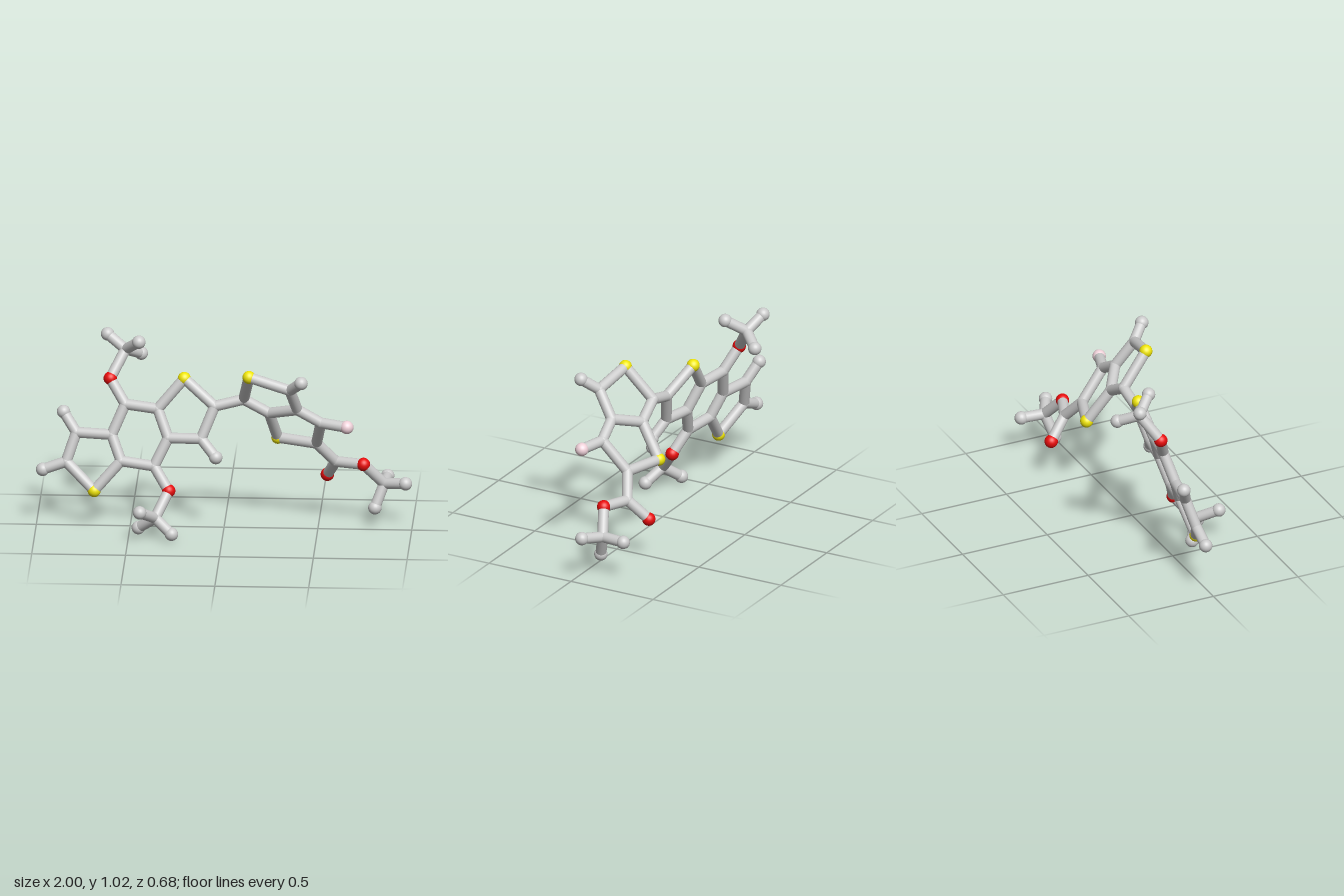
import * as THREE from 'three';

const COLORS = { C: 0xcccccc, H: 0xcccccc, S: 0xf0e60a, O: 0xe80c0c, F: 0xf0d2da };
const RADII = { C: 0.03, H: 0.036, S: 0.035, O: 0.036, F: 0.036 };
const NAMES = { C: 'carbon', H: 'hydrogen', S: 'sulfur', O: 'oxygen', F: 'fluorine' };
const BOND_RADIUS = 0.029;

// The two flat ring systems: depth follows from x and y
const leftPlane = (x, y) => 0.1685 * x - 0.317 * y + 0.228;
const rightPlane = (x, y) => 0.374 * x + 0.785 * y - 0.603;

// Each atom: [element, x, y, z]; z is left out for atoms lying in the plane.
// Each bond is a string "first-second" of atom keys.
const PARTS = [
  {
    name: 'tripleRing', plane: leftPlane,
    atoms: {
      a: ['C', -0.60, 0.50], b: ['C', -0.53, 0.66], c: ['C', -0.355, 0.647],
      d: ['C', -0.297, 0.503], e: ['C', -0.37, 0.355], f: ['C', -0.548, 0.37],
      s1: ['S', -0.69, 0.21], g: ['C', -0.842, 0.348], h: ['C', -0.79, 0.50],
      s2: ['S', -0.215, 0.81], i: ['C', -0.05, 0.68], j: ['C', -0.12, 0.51],
      h1: ['H', -0.968, 0.30], h2: ['H', -0.86, 0.60], h3: ['H', -0.04, 0.42],
    },
    bonds: 'a-b b-c c-d d-e e-f f-a f-s1 s1-g g-h h-a c-s2 s2-i i-j j-d g-h1 h-h2 j-h3',
  },
  {
    name: 'upperMethoxy', plane: leftPlane,
    atoms: {
      o1: ['O', -0.612, 0.785], m1: ['C', -0.535, 0.92, -0.213],
      h4: ['H', -0.633, 0.99, -0.257], h5: ['H', -0.46, 0.99, -0.123], h6: ['H', -0.456, 0.868, -0.306],
    },
    bonds: 'b-o1 o1-m1 m1-h4 m1-h5 m1-h6',
  },
  {
    name: 'lowerMethoxy', plane: leftPlane,
    atoms: {
      o2: ['O', -0.29, 0.235], m2: ['C', -0.357, 0.112, 0.2],
      h7: ['H', -0.435, 0.175, 0.304], h8: ['H', -0.45, 0.037, 0.138], h9: ['H', -0.268, 0.042, 0.256],
    },
    bonds: 'e-o2 o2-m2 m2-h7 m2-h8 m2-h9',
  },
  {
    name: 'doubleRing', plane: rightPlane,
    atoms: {
      k: ['C', 0.105, 0.72], s3: ['S', 0.14, 0.892], l: ['C', 0.36, 0.834],
      m: ['C', 0.395, 0.695], n: ['C', 0.24, 0.642], s4: ['S', 0.28, 0.466],
      p: ['C', 0.49, 0.46], q: ['C', 0.52, 0.62],
      f1: ['F', 0.66, 0.612], h10: ['H', 0.423, 0.9],
    },
    bonds: 'i-k k-s3 s3-l l-m m-n n-k n-s4 s4-p p-q q-m q-f1 l-h10',
  },
  {
    name: 'esterGroup', plane: rightPlane,
    atoms: {
      r: ['C', 0.59, 0.342], o3: ['O', 0.54, 0.235], o4: ['O', 0.74, 0.347],
      m3: ['C', 0.848, 0.225, -0.108],
      h11: ['H', 0.964, 0.245, -0.046], h12: ['H', 0.86, 0.225, -0.24], h13: ['H', 0.8, 0.1, -0.07],
    },
    bonds: 'p-r r-o3 r-o4 o4-m3 m3-h11 m3-h12 m3-h13',
  },
];

export function createModel() {
  const model = new THREE.Group();
  model.name = 'molecule';
  const materials = {}, balls = {}, positions = {};
  for (const el in COLORS) {
    materials[el] = new THREE.MeshStandardMaterial({ color: COLORS[el] });
    balls[el] = new THREE.SphereGeometry(RADII[el], 24, 16);
  }
  const up = new THREE.Vector3(0, 1, 0);

  for (const part of PARTS) {
    const group = new THREE.Group();
    group.name = part.name;
    model.add(group);

    // Atoms
    for (const [key, [el, x, y, z = part.plane(x, y)]] of Object.entries(part.atoms)) {
      positions[key] = new THREE.Vector3(x, y, z);
      const ball = new THREE.Mesh(balls[el], materials[el]);
      ball.name = NAMES[el] + 'Atom';
      ball.position.copy(positions[key]);
      group.add(ball);
    }

    // Bonds: open rods running between atom centres
    for (const bond of part.bonds.split(' ')) {
      const [from, to] = bond.split('-').map((key) => positions[key]);
      const dir = to.clone().sub(from);
      const rod = new THREE.Mesh(
        new THREE.CylinderGeometry(BOND_RADIUS, BOND_RADIUS, dir.length(), 20, 1, true), materials.C);
      rod.name = 'bond';
      rod.position.copy(from).lerp(to, 0.5);
      rod.quaternion.setFromUnitVectors(up, dir.normalize());
      group.add(rod);
    }
  }
  return model;
}
